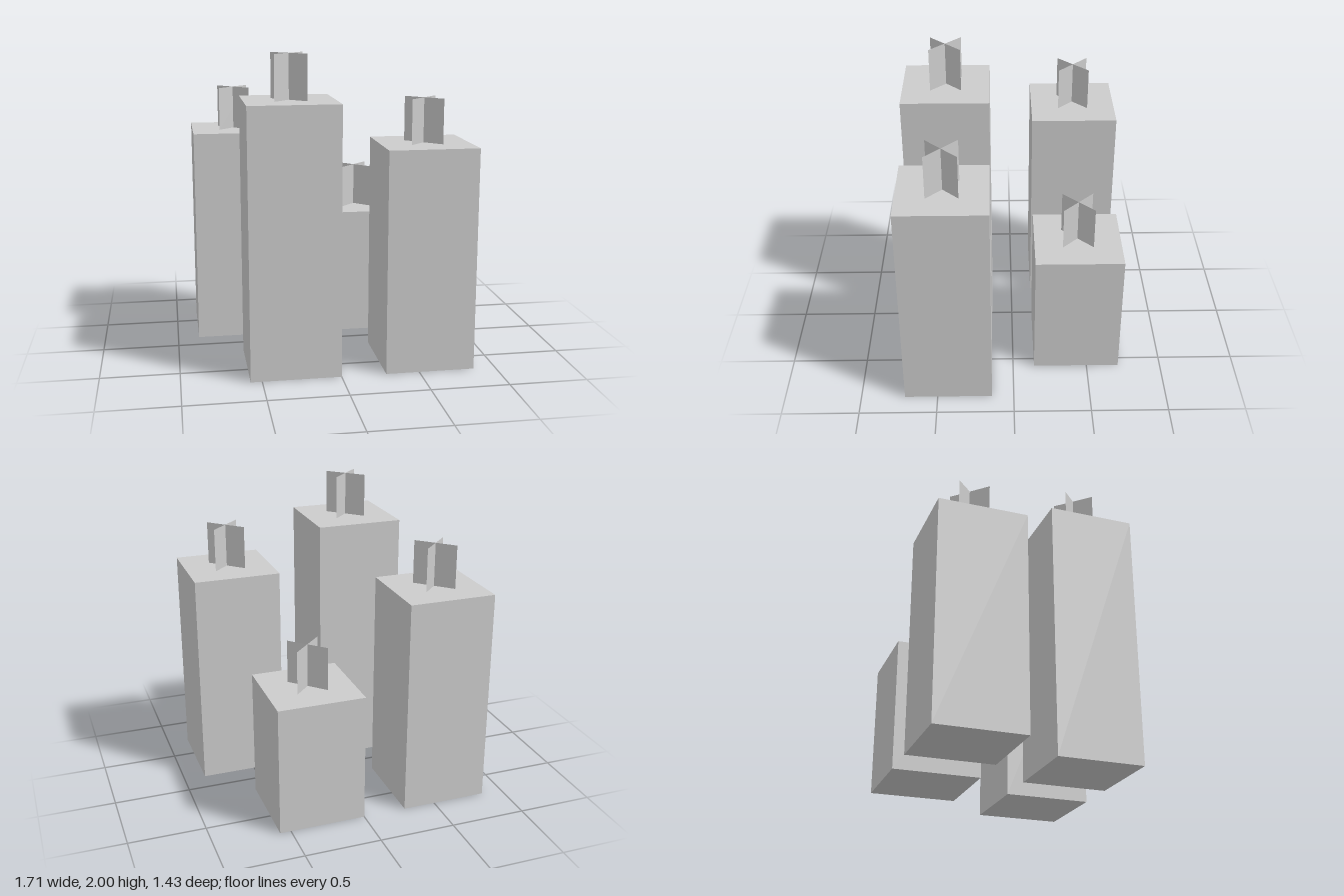
import * as THREE from 'three';

const U = 2 / 7; // base unit: wick size

export function createModel() {
  const model = new THREE.Group();
  model.name = 'candleCluster';
  const wax = new THREE.MeshStandardMaterial({ color: 0xcccccc, flatShading: true });
  const thin = new THREE.MeshStandardMaterial({ color: 0xcccccc, flatShading: true, side: THREE.DoubleSide });

  // One square candle with two crossed wick planes set on the diagonals
  function addCandle(name, x, z, height) {
    const candle = new THREE.Group();
    candle.name = name;
    candle.position.set(x, 0, z);

    const body = new THREE.Mesh(new THREE.BoxGeometry(2 * U, height, 2 * U), wax);
    body.name = 'candleBody';
    body.position.y = height / 2;
    candle.add(body);

    for (const side of [-1, 1]) {
      const wick = new THREE.Mesh(new THREE.PlaneGeometry(U, U), thin);
      wick.name = side < 0 ? 'wickPlaneA' : 'wickPlaneB';
      wick.position.y = height + U / 2;
      wick.rotation.y = side * Math.PI / 4;
      candle.add(wick);
    }
    model.add(candle);
  }

  addCandle('frontRightCandle', -U, 1.5 * U, 6 * U);
  addCandle('frontLeftCandle', 2 * U, 1.5 * U, 5 * U);
  addCandle('backRightCandle', -2 * U, -1.5 * U, 5 * U);
  addCandle('backLeftCandle', U, -1.5 * U, 3 * U);

  return model;
}
